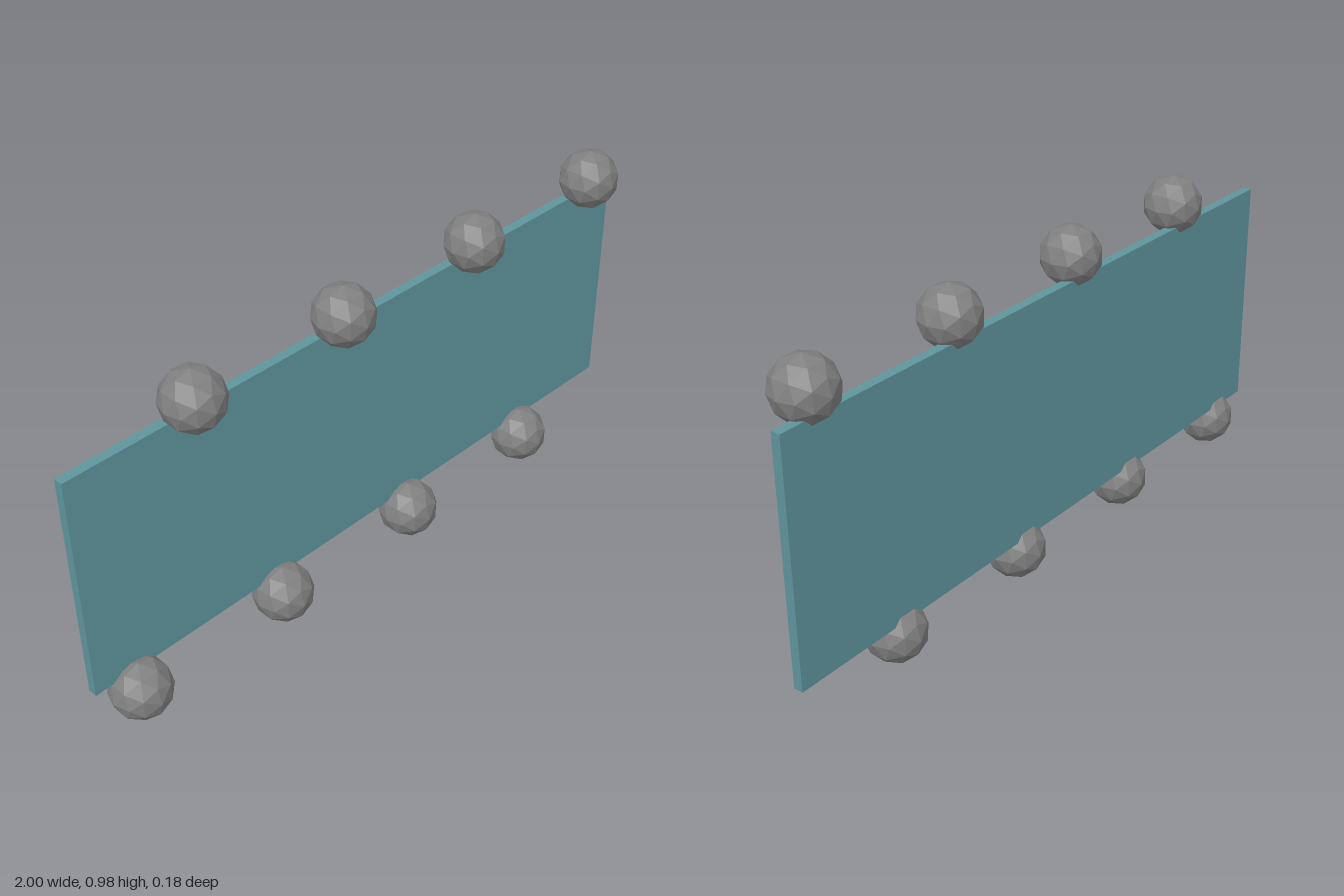
import * as THREE from 'three';

export function createModel() {
  const model = new THREE.Group();
  model.name = 'panelWithBalls';

  const teal = new THREE.MeshStandardMaterial({ color: 0x5f949d });
  teal.name = 'teal';
  const grey = new THREE.MeshStandardMaterial({ color: 0x808080, flatShading: true });
  grey.name = 'grey';

  const radius = 0.088;
  const rowGap = 0.8;

  // Upright panel, set slightly behind the balls
  const panel = new THREE.Mesh(new THREE.BoxGeometry(2, 0.7, 0.028), teal);
  panel.name = 'panel';
  panel.position.set(0, radius + rowGap / 2, -0.031);
  model.add(panel);

  // Faceted balls, alternating between the bottom and top edges
  const ballGeometry = new THREE.IcosahedronGeometry(radius, 1);
  for (let i = 0; i < 8; i++) {
    const isTop = i % 2 === 1;
    const ball = new THREE.Mesh(ballGeometry, grey);
    ball.name = (isTop ? 'topBall' : 'bottomBall') + (Math.floor(i / 2) + 1);
    ball.position.set(-0.875 + i * 0.25, radius + (isTop ? rowGap : 0), 0);
    model.add(ball);
  }

  return model;
}
